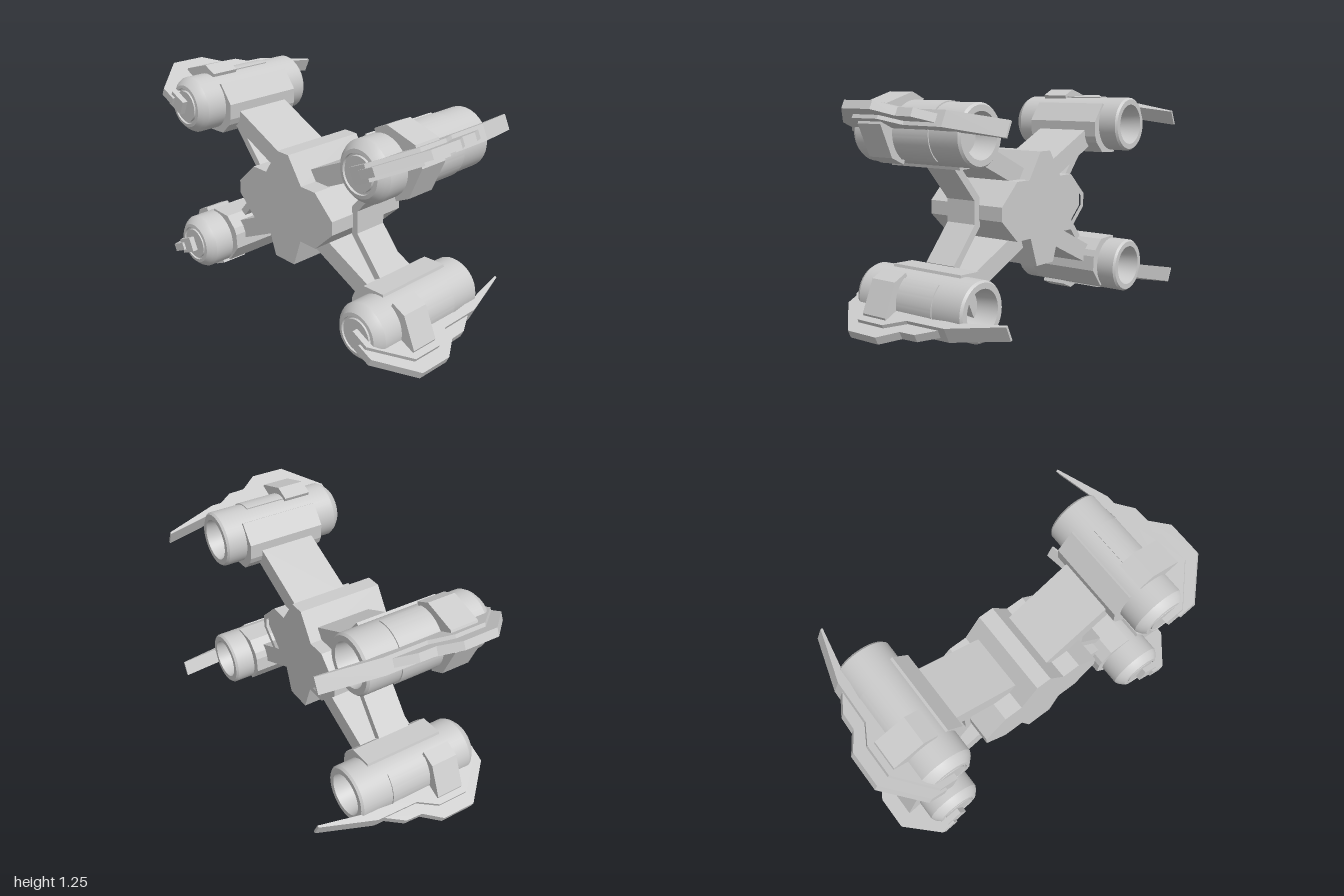
import * as THREE from 'three';
import { toCreasedNormals } from 'three/addons/utils/BufferGeometryUtils.js';

const MID = 0.6225;               // height of the horizontal mirror plane
const TILT = THREE.MathUtils.degToRad(25);
const ENGINE_X = 0.676, ENGINE_Y = 1.045;

const material = new THREE.MeshStandardMaterial({ color: 0xcccccc });

function part(name, geometry, parent) {
  const mesh = new THREE.Mesh(geometry, material);
  mesh.name = name;
  parent.add(mesh);
  return mesh;
}

const shapeOf = pts => new THREE.Shape(pts.map(p => new THREE.Vector2(p[0], p[1])));

// Cross-section in x, y pushed along z from z0 to z1
function prism(shape, z0, z1, curveSegments = 24) {
  return new THREE.ExtrudeGeometry(shape, { depth: z1 - z0, bevelEnabled: false, curveSegments })
    .translate(0, 0, z0);
}

// Outline in x, z with thickness 2h centred on y = 0
function plate(pts, h) {
  return prism(shapeOf(pts), 0, 2 * h).rotateX(Math.PI / 2).translate(0, h, 0);
}

// Mirror a half outline (top to bottom, x > 0) across x = 0
const mirrorX = half => [...half, ...half.map(([x, y]) => [-x, y]).reverse()];
// Mirror a half outline across y = 0
const mirrorY = half => [...half, ...half.map(([x, y]) => [x, -y]).reverse()];

function buildBody(group) {
  const body = new THREE.Group();
  body.name = 'body';
  const outline = mirrorX([
    [0.043, 0.925], [0.14, 0.78], [0.245, 0.78], [0.372, 0.66],
    [0.372, 0.585], [0.245, 0.465], [0.13, 0.465], [0.075, 0.307],
  ]);
  part('hull', prism(shapeOf(outline), -0.125, 0.337), body);

  // Rear rim around a shallow hexagonal recess
  const rim = shapeOf(outline);
  rim.holes.push(new THREE.Path(mirrorX([
    [0.233, 0.752], [0.345, 0.648], [0.345, 0.597], [0.233, 0.493],
  ]).map(p => new THREE.Vector2(p[0], p[1]))));
  part('rearRim', prism(rim, -0.155, -0.125), body);
  group.add(body);

  // Bent braces joining the upper and lower engines on each side
  for (const s of [1, -1]) {
    const brace = [
      [0.57, 0.877], [0.405, 0.685], [0.405, 0.56], [0.57, 0.368],
      [0.535, 0.345], [0.365, 0.545], [0.365, 0.70], [0.535, 0.90],
    ].map(([x, y]) => [x * s, y]);
    part(s > 0 ? 'leftBrace' : 'rightBrace', prism(shapeOf(brace), 0, 0.19), group);
  }
}

// Local frame: +x points outward from the body, z runs along the engine
function buildEngine(name) {
  const engine = new THREE.Group();
  engine.name = name;

  // Nacelle with hollow exhaust and stepped nose
  const profile = [
    [0, -0.1], [0.09, -0.1], [0.115, -0.28], [0.145, -0.28], [0.155, -0.268],
    [0.155, 0.415], [0.143, 0.437], [0.118, 0.462], [0.1, 0.464], [0.098, 0.452],
    [0.088, 0.452], [0.086, 0.464], [0, 0.464],
  ].map(p => new THREE.Vector2(p[0], p[1]));
  part('nacelle', toCreasedNormals(
    new THREE.LatheGeometry(profile, 40).rotateX(Math.PI / 2), 0.45), engine);

  // Thin sleeve over the outer half
  const arc = new THREE.Shape();
  arc.absarc(0, 0, 0.161, -1.35, 1.35, false);
  arc.absarc(0, 0, 0.148, 1.35, -1.35, true);
  part('sleeve', toCreasedNormals(prism(arc, -0.09, 0.3), 0.45), engine);

  // Faceted mount on the inner side
  part('mount', prism(shapeOf(mirrorY([
    [-0.04, 0.14], [-0.055, 0.16], [-0.172, 0.1], [-0.203, 0.02],
  ])), -0.16, 0.3), engine);

  // Wing arm reaching into the body
  part('wingArm', new THREE.BoxGeometry(0.46, 0.106, 0.322)
    .translate(-0.41, 0, 0.073), engine);

  // Angular clamp carrying the fin
  part('finClamp', prism(shapeOf(mirrorY([
    [0.015, 0.175], [0.1, 0.175], [0.235, 0.055],
  ])), 0.145, 0.303), engine);

  // Thick inner fin with the long rear blade
  part('innerFin', plate([
    [-0.01, 0.495], [0.095, 0.497], [0.27, 0.315], [0.27, 0.14], [0.205, 0.03],
    [0.2, -0.21], [0.103, -0.512], [0.091, -0.512], [0.14, -0.27],
    [0.158, -0.09], [0.13, 0.0], [0.1, 0.4], [-0.01, 0.45],
  ], 0.042), engine);

  // Thin outer fin edge
  part('outerFin', plate([
    [0.06, 0.51], [0.154, 0.51], [0.339, 0.325], [0.339, 0.13], [0.267, 0.03],
    [0.263, -0.065], [0.2, -0.167], [0.15, -0.1], [0.13, 0.35], [0.06, 0.45],
  ], 0.022), engine);
  return engine;
}

export function createModel() {
  const group = new THREE.Group();
  group.name = 'fighterCraft';
  buildBody(group);
  // Each engine is symmetric about its own fin plane, so turning it mirrors it
  for (const sx of [1, -1]) {
    for (const sy of [1, -1]) {
      const name = (sy > 0 ? 'upper' : 'lower') + (sx > 0 ? 'Left' : 'Right') + 'Engine';
      const engine = buildEngine(name);
      engine.position.set(sx * ENGINE_X, MID + sy * (ENGINE_Y - MID), 0);
      engine.rotation.z = sy * (sx > 0 ? TILT : Math.PI - TILT);
      group.add(engine);
    }
  }
  return group;
}
